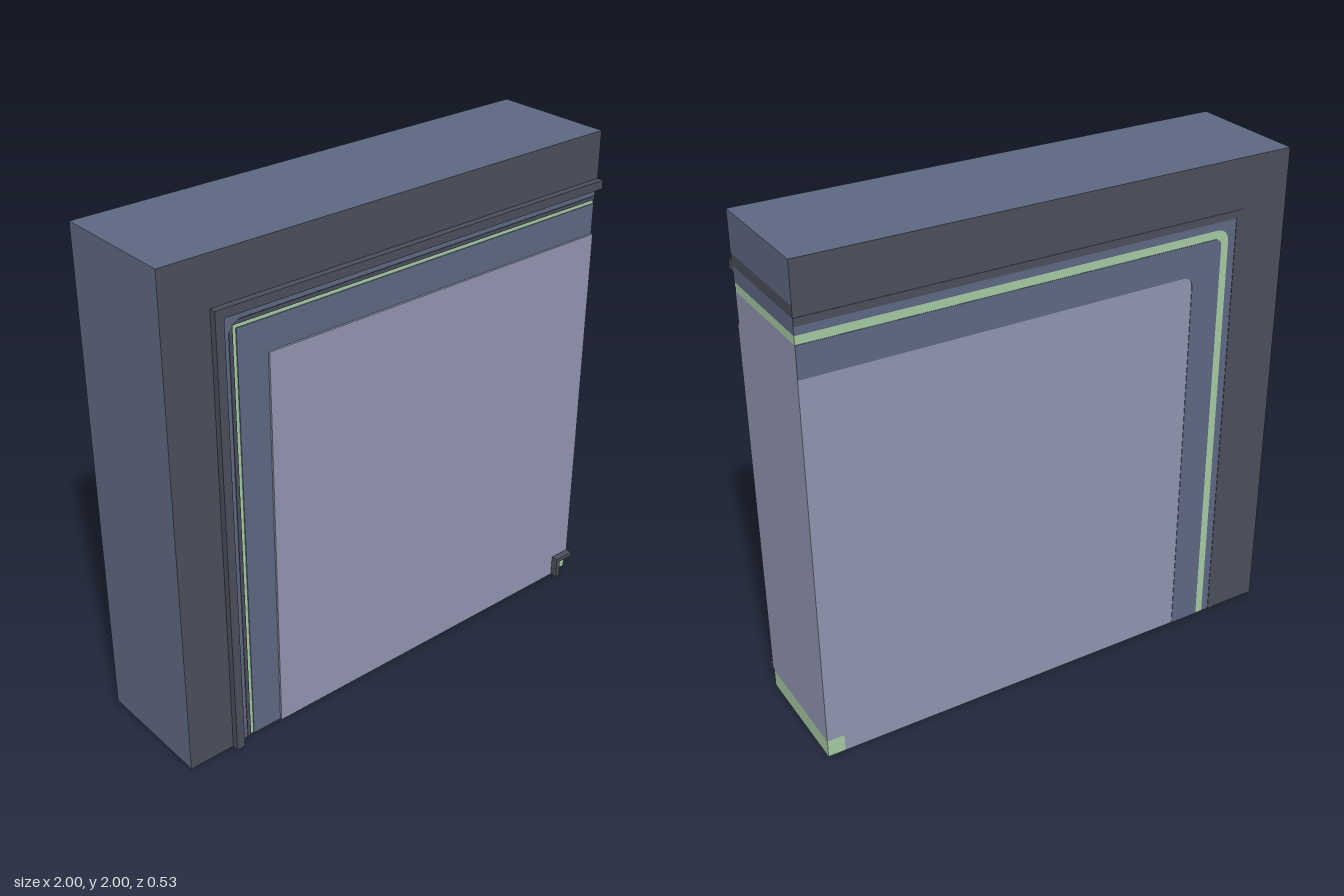
import * as THREE from 'three';

const mat = (name, color) => new THREE.MeshStandardMaterial({ name, color });

export function createModel() {
  const dark = mat('charcoal', 0x4a4d5a);
  const blue = mat('slate blue', 0x5c6780);
  const lilac = mat('lilac grey', 0x8f93ad);
  const green = mat('pale green', 0xa3c7a0);
  const group = new THREE.Group();
  const BACK = -0.265;

  // Upper-left corner path, inset d from the outer edges, rounded by r
  const corner = (d, r) => {
    const x = -1 + d, y = 2 - d, pts = [new THREE.Vector2(x, 0)];
    if (r > 0) {
      for (let i = 0; i <= 6; i++) {
        const a = Math.PI - (i / 6) * Math.PI / 2;
        pts.push(new THREE.Vector2(x + r + r * Math.cos(a), y - r + r * Math.sin(a)));
      }
    } else pts.push(new THREE.Vector2(x, y));
    pts.push(new THREE.Vector2(1, y));
    return pts;
  };

  // Extrude a closed outline between two depths
  const slab = (name, pts, z0, z1, material) => {
    const geo = new THREE.ExtrudeGeometry(new THREE.Shape(pts), { depth: z1 - z0, bevelEnabled: false });
    geo.translate(0, 0, z0);
    const mesh = new THREE.Mesh(geo, material);
    mesh.name = name;
    group.add(mesh);
  };

  // L-shaped band between two insets
  const band = (name, d0, d1, z0, z1, material, r0 = 0, r1 = 0) =>
    slab(name, [...corner(d0, r0), ...corner(d1, r1).reverse()], z0, z1, material);

  const box = (name, x0, x1, y0, y1, z0, z1, material) => {
    const mesh = new THREE.Mesh(new THREE.BoxGeometry(x1 - x0, y1 - y0, z1 - z0), material);
    mesh.position.set((x0 + x1) / 2, (y0 + y1) / 2, (z0 + z1) / 2);
    mesh.name = name;
    group.add(mesh);
  };

  // Nested body layers, from the outside in
  band('outerFrame', 0, 0.158, BACK, 0.238, [dark, blue]);
  band('frameLining', 0.158, 0.202, BACK, 0.238, dark);
  band('innerFrame', 0.202, 0.262, BACK, 0.23, blue, 0, 0.05);
  band('greenSeal', 0.262, 0.295, BACK, 0.224, green, 0.05, 0.03);
  box('frameFoot', -1, -0.842, 0, 0.002, BACK, 0.238, dark);

  // Core with a notch for the corner block
  slab('core', [
    ...corner(0.295, 0.03),
    new THREE.Vector2(1, 0.073), new THREE.Vector2(0.93, 0.073), new THREE.Vector2(0.93, 0),
  ], BACK, 0.225, lilac);

  // Raised front trim and the shadow lines beside it
  band('frontTrim', 0.19, 0.225, 0.225, 0.265, dark);
  band('sealLip', 0.264, 0.279, 0.222, 0.23, dark);
  band('frontRing', 0.295, 0.42, 0.22, 0.228, blue);

  // Front panel, stopping around the corner block
  slab('frontPanel', [
    ...corner(0.42, 0),
    new THREE.Vector2(1, 0.09), new THREE.Vector2(0.91, 0.09), new THREE.Vector2(0.91, 0),
  ], 0.22, 0.236, lilac);

  // Back skins
  band('backBorder', 0.2, 0.23, BACK - 0.002, BACK + 0.002, dark);
  band('backRing', 0.295, 0.42, BACK - 0.002, BACK + 0.002, blue, 0.03, 0.04);

  // Corner block with its raised trim
  box('cornerBlock', 0.93, 1, 0, 0.073, BACK, 0.225, green);
  box('cornerTrimSide', 0.91, 0.93, 0, 0.09, 0.222, 0.265, dark);
  box('cornerTrimTop', 0.93, 1, 0.073, 0.09, 0.222, 0.265, dark);

  return group;
}
